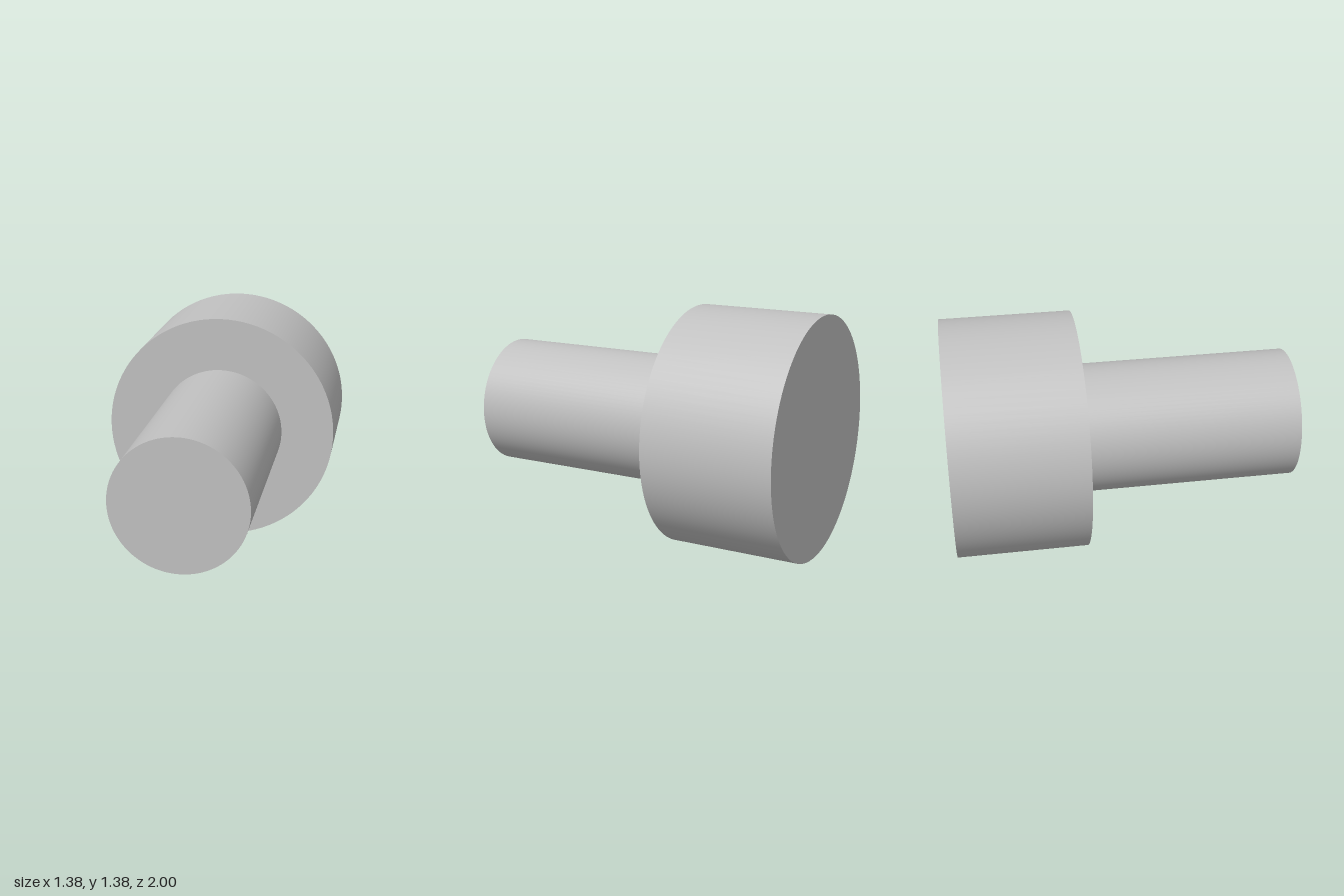
import * as THREE from 'three';

const HEAD_RADIUS = 0.6875;
const SHAFT_RADIUS = 0.375;

export function createModel() {
  const group = new THREE.Group();
  group.name = 'steppedPin';

  const grey = new THREE.MeshStandardMaterial({ color: 0xc0c0c0 });
  grey.name = 'plain grey';

  // Cylinder lying along z between two depths
  const addCylinder = (name, radius, zBack, zFront) => {
    const geometry = new THREE.CylinderGeometry(radius, radius, zFront - zBack, 96);
    geometry.rotateX(Math.PI / 2);
    const mesh = new THREE.Mesh(geometry, grey);
    mesh.name = name;
    mesh.position.set(0, HEAD_RADIUS, (zBack + zFront) / 2);
    group.add(mesh);
  };

  // Wide head at the back, narrow shaft reaching forward
  addCylinder('head', HEAD_RADIUS, -1, -0.25);
  addCylinder('shaft', SHAFT_RADIUS, -0.25, 1);

  return group;
}
